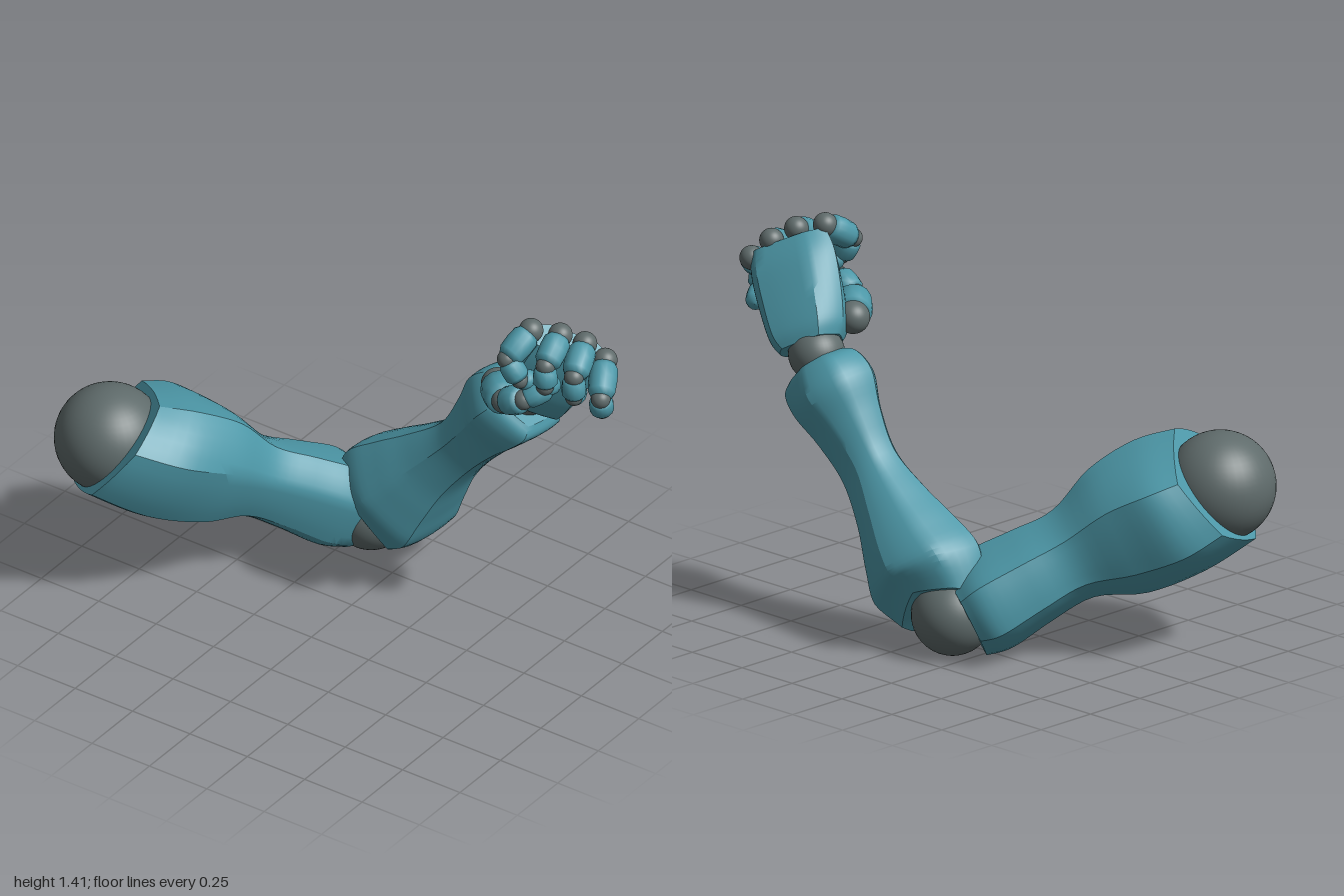
import * as THREE from 'three';
import { toCreasedNormals } from 'three/addons/utils/BufferGeometryUtils.js';

const shell = new THREE.MeshStandardMaterial({ color: 0x4d98a8 });
const joint = new THREE.MeshStandardMaterial({ color: 0x5f6b6b });
const V = (x, y, z) => new THREE.Vector3(x, y, z);

function ball(name, p, r) {
  const m = new THREE.Mesh(new THREE.SphereGeometry(r, 40, 28), joint);
  m.name = name;
  m.position.copy(p);
  return m;
}

// Smooth interpolation through the station rows
function sample(rows, f) {
  const i = Math.min(Math.floor(f), rows.length - 2), u = f - i;
  const at = k => rows[Math.max(0, Math.min(rows.length - 1, k))];
  return rows[i].map((_, c) => {
    const [p, q, r, s] = [at(i - 1)[c], at(i)[c], at(i + 1)[c], at(i + 2)[c]];
    return 0.5 * (2 * q + (r - p) * u + (2 * p - 5 * q + 4 * r - s) * u * u
      + (3 * q - p - 3 * r + s) * u * u * u);
  });
}

// Limb shell: a soft hexagon swept from one joint towards the next.
// Row: [distance, low side, high side, low depth, high depth, side tilt, depth tilt, cup]
function limb(name, from, to, sideHint, corners, rows) {
  const d = to.clone().sub(from).normalize();
  const B = d.clone().cross(sideHint).normalize();
  const A = B.clone().cross(d);
  const sub = 5, steps = 5, n = corners.length * sub;
  const rings = (rows.length - 1) * steps + 1;
  const pos = [], idx = [];
  for (let j = 0; j < rings; j++) {
    const [t, a0, a1, b0, b1, tiltA, tiltB, cup] = sample(rows, j / steps);
    for (let i = 0; i < n; i++) {
      const c = Math.floor(i / sub), u = (i % sub) / sub;
      const p = corners[c], q = corners[(c + 1) % corners.length];
      const swell = 1 + 0.22 * u * (1 - u);
      let a = (p[0] + (q[0] - p[0]) * u) * swell;
      let b = (p[1] + (q[1] - p[1]) * u) * swell;
      a *= a < 0 ? -a0 : a1;
      b *= b < 0 ? -b0 : b1;
      const v = from.clone().addScaledVector(d, t + tiltA * a + tiltB * b + cup * a * a)
        .addScaledVector(A, a).addScaledVector(B, b);
      pos.push(v.x, v.y, v.z);
    }
  }
  for (let j = 0; j < rings - 1; j++) {
    for (let i = 0; i < n; i++) {
      const k = (i + 1) % n, p = j * n + i, q = j * n + k;
      idx.push(p, q, q + n, p, q + n, p + n);
    }
  }
  // End caps
  for (const [ring, flip] of [[0, true], [rings - 1, false]]) {
    const mid = V(0, 0, 0), o = ring * n;
    for (let i = 0; i < n; i++) mid.add(V(...pos.slice((o + i) * 3, (o + i) * 3 + 3)));
    mid.divideScalar(n);
    const c = pos.length / 3;
    pos.push(mid.x, mid.y, mid.z);
    for (let i = 0; i < n; i++) {
      const p = o + i, q = o + (i + 1) % n;
      flip ? idx.push(c, q, p) : idx.push(c, p, q);
    }
  }
  const g = new THREE.BufferGeometry();
  g.setAttribute('position', new THREE.Float32BufferAttribute(pos, 3));
  g.setIndex(idx);
  const m = new THREE.Mesh(toCreasedNormals(g, 0.55), shell);
  m.name = name;
  return m;
}

// Finger bone: a plump barrel between two joints
function bone(name, p, q, r0, r1) {
  const len = p.distanceTo(q);
  const prof = [[0, 0.06], [0.75, 0.08], [1, 0.22], [1.05, 0.5], [1, 0.82], [0.75, 0.97], [0, 1.02]]
    .map(([r, y]) => new THREE.Vector2(r * (r0 + (r1 - r0) * y), y * len));
  const m = new THREE.Mesh(new THREE.LatheGeometry(prof, 14), shell);
  m.name = name;
  m.position.copy(p);
  m.quaternion.setFromUnitVectors(V(0, 1, 0), q.clone().sub(p).normalize());
  return m;
}

function finger(name, pts, radii) {
  const g = new THREE.Group();
  g.name = name;
  for (let i = 0; i < pts.length - 1; i++) {
    g.add(ball(name + 'Joint', pts[i], radii[i]));
    g.add(bone(name + 'Segment', pts[i], pts[i + 1], radii[i] * 1.15, radii[i + 1] * 1.4));
  }
  return g;
}

export function createModel() {
  const arm = new THREE.Group();
  arm.name = 'arm';
  const shoulder = V(-0.36, 0.61, -0.8), elbow = V(0.36, 0.15, -0.17);
  const wrist = V(0.34, 0.96, 0.53), knuckles = V(0.235, 1.31, 0.78);

  arm.add(ball('shoulderBall', shoulder, 0.2));
  arm.add(ball('elbowBall', elbow, 0.148));
  arm.add(ball('wristBall', wrist, 0.102));

  arm.add(limb('upperArm', shoulder, elbow, V(0.658, 0, -0.753),
    [[-0.42, 1], [-1, 0.42], [-0.78, -0.6], [0.15, -1], [1, -0.42], [0.9, 0.62]], [
      [0.025, -0.265, 0.235, -0.225, 0.23, 0.25, 0.28, 0],
      [0.2, -0.288, 0.257, -0.25, 0.255, 0.1, 0.1, 0],
      [0.4, -0.22, 0.2, -0.235, 0.24, 0, 0, 0],
      [0.58, -0.145, 0.145, -0.165, 0.17, 0, 0, 0],
      [0.75, -0.135, 0.175, -0.175, 0.17, 0, 0, 0],
      [0.92, -0.14, 0.208, -0.2, 0.17, 0, 0, 0],
      [1.02, -0.11, 0.18, -0.185, 0.13, -0.1, 0, 0],
    ]));

  arm.add(limb('forearm', elbow, wrist, V(1, 0, 0),
    [[-0.75, -0.85], [0.6, -1], [1, 0.1], [0.55, 0.85], [-0.35, 1], [-1, 0.2]], [
      [0.02, -0.145, 0.14, -0.175, 0.17, 0.1, 0, 4],
      [0.16, -0.19, 0.2, -0.207, 0.215, 0.05, 0, 0.8],
      [0.3, -0.165, 0.19, -0.172, 0.18, 0, 0, 0],
      [0.45, -0.125, 0.145, -0.135, 0.13, 0, 0, 0],
      [0.62, -0.1, 0.1, -0.125, 0.09, 0, 0, 0],
      [0.78, -0.115, 0.12, -0.136, 0.12, 0, 0, 0],
      [0.91, -0.16, 0.155, -0.155, 0.155, 0, 0, 0],
      [1.0, -0.15, 0.13, -0.165, 0.135, 0, 0, 0],
      [1.035, -0.115, 0.1, -0.13, 0.095, 0, 0, 0],
    ]));

  arm.add(limb('palm', wrist, knuckles, V(0.509, -0.393, 0.763),
    [[-0.7, -1], [0.7, -1], [1, 0], [0.75, 0.85], [-0.5, 1], [-1, 0.2]], [
      [0.035, -0.105, 0.13, -0.09, 0.09, 0, 0, 0],
      [0.09, -0.135, 0.155, -0.13, 0.1, 0, 0, 0],
      [0.2, -0.155, 0.165, -0.13, 0.092, 0, 0, 0],
      [0.34, -0.165, 0.165, -0.09, 0.075, 0, 0, 0],
      [0.43, -0.15, 0.145, -0.05, 0.045, 0, 0, 0],
    ]));

  // Curled fingers: knuckle, middle joint, end joint, tip
  const size = [0.044, 0.035, 0.032, 0.026];
  const hand = {
    indexFinger: [[0.15, 1.365, 0.675], [0.035, 1.295, 0.65], [0.045, 1.22, 0.7], [0.11, 1.19, 0.72]],
    middleFinger: [[0.21, 1.345, 0.76], [0.09, 1.285, 0.78], [0.08, 1.205, 0.785], [0.15, 1.17, 0.77]],
    ringFinger: [[0.27, 1.3, 0.825], [0.145, 1.24, 0.865], [0.145, 1.155, 0.865], [0.22, 1.125, 0.83]],
    littleFinger: [[0.31, 1.23, 0.885], [0.19, 1.155, 0.95], [0.22, 1.085, 0.935], [0.31, 1.06, 0.87]],
  };
  for (const [name, pts] of Object.entries(hand))
    arm.add(finger(name, pts.map(p => V(...p)), size));
  arm.add(finger('thumb',
    [V(0.17, 1.06, 0.515), V(0.06, 1.09, 0.62), V(0.045, 1.14, 0.715), V(0.11, 1.185, 0.785)],
    [0.06, 0.045, 0.037, 0.03]));
  return arm;
}
